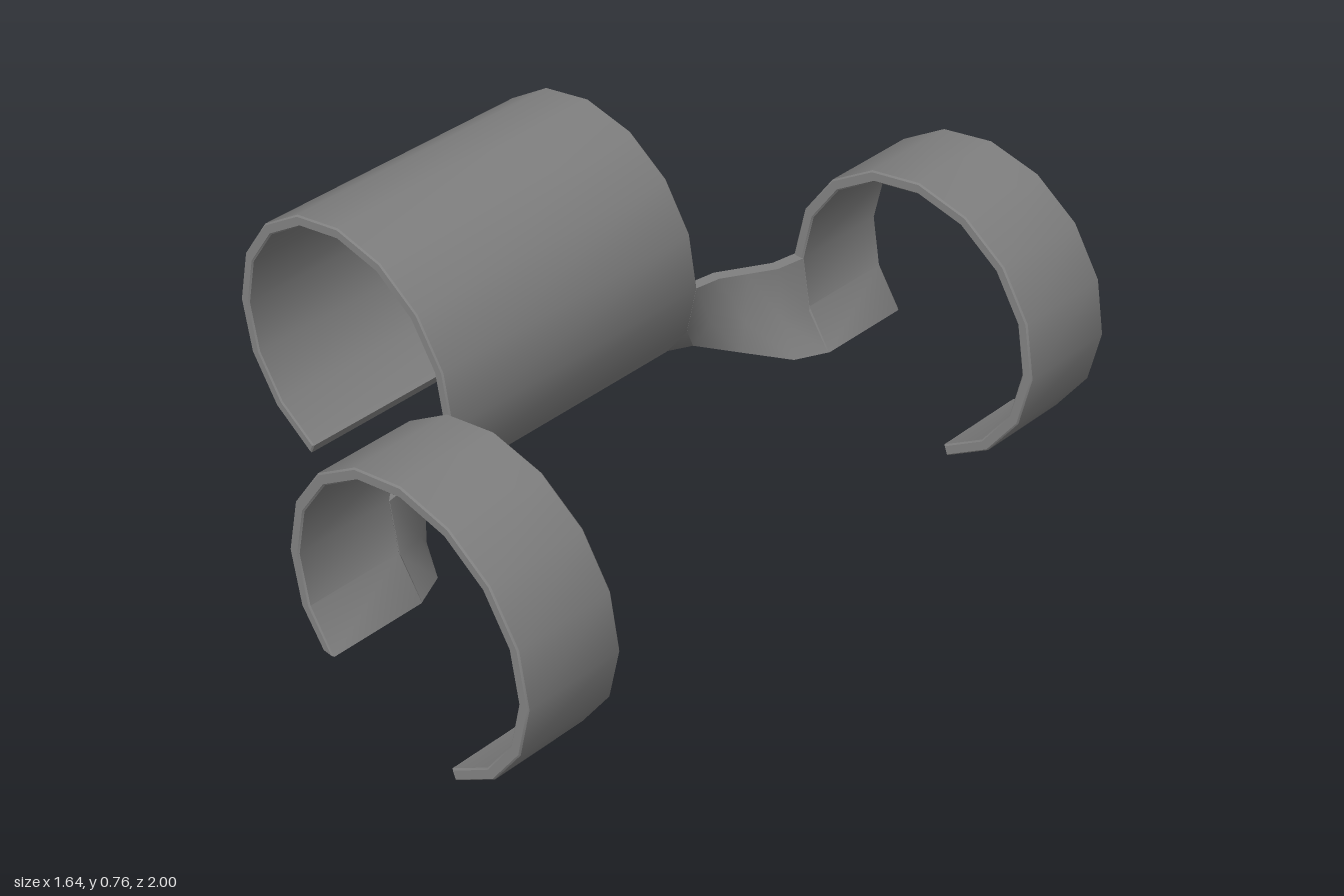
import * as THREE from 'three';
import { toCreasedNormals } from 'three/addons/utils/BufferGeometryUtils.js';

const material = new THREE.MeshStandardMaterial({ color: 0x808080 });
const CX = 0.4275, CY = 0.361;        // clip axis
const R_OUT = 0.3935, R_IN = 0.3625;  // clip wall
const LIP = 0.113;                    // height of the flat inner lip

function addMesh(parent, name, geometry, crease) {
  const mesh = new THREE.Mesh(toCreasedNormals(geometry, crease), material);
  mesh.name = name;
  parent.add(mesh);
}

// Open C-shaped clip, extruded along z; side = -1 mirrors it to -x
function clipGeometry(side, z0, z1) {
  const wall = (r, lipX) => {
    const points = [new THREE.Vector2(side * lipX, LIP)];
    for (let deg = 202.5; deg >= -67.5; deg -= 22.5) {
      const a = THREE.MathUtils.degToRad(deg);
      points.push(new THREE.Vector2(side * (CX + r * Math.cos(a)), CY + r * Math.sin(a)));
    }
    return points;
  };
  const shape = new THREE.Shape([...wall(R_OUT, 0.134), ...wall(R_IN, 0.168).reverse()]);
  const bevel = 0.004;
  const geometry = new THREE.ExtrudeGeometry(shape, {
    depth: z1 - z0 - 2 * bevel, bevelEnabled: true, bevelSegments: 1,
    bevelSize: bevel, bevelThickness: bevel, bevelOffset: -bevel,
  });
  return geometry.translate(0, 0, z0 + bevel);
}

// S-bent strip that follows the clip wall at both ends
function bridgeGeometry(zMid, dir) {
  const rows = [[LIP, 0.151], [0.212, 0.08], [CY, 0.05]];  // height, sideways reach
  const path = [[-0.1475, -1], [-0.07, -0.76], [0, 0], [0.07, 0.76], [0.1475, 1]];
  const half = 0.0155, last = path.length - 1;
  const positions = [], index = [];

  path.forEach(([dz, s], k) => {
    const faces = [[], []];
    for (const [y, reach] of rows) {
      // plan normal of the strip at this height
      const normal = new THREE.Vector2(1, 0);
      if (k > 0 && k < last) {
        const [za, sa] = path[k - 1], [zb, sb] = path[k + 1];
        normal.set(zb - za, -dir * reach * (sb - sa)).normalize();
      }
      [1, -1].forEach((sign, f) => faces[f].push([
        dir * reach * s + sign * half * normal.x, y, zMid + dz + sign * half * normal.y,
      ]));
    }
    positions.push(...[...faces[0], ...faces[1].reverse()].flat());
  });

  const n = rows.length * 2;
  const quad = (a, b, c, d) => index.push(a, b, c, a, c, d);
  for (let k = 0; k < last; k++) {
    for (let i = 0; i < n; i++) {
      const j = (i + 1) % n;
      quad(k * n + i, k * n + j, (k + 1) * n + j, (k + 1) * n + i);
    }
  }
  // end caps
  const e = last * n;
  for (let i = 0; i < rows.length - 1; i++) {
    quad(i, n - 1 - i, n - 2 - i, i + 1);
    quad(e + i, e + i + 1, e + n - 2 - i, e + n - 1 - i);
  }

  const geometry = new THREE.BufferGeometry();
  geometry.setAttribute('position', new THREE.Float32BufferAttribute(positions, 3));
  geometry.setIndex(index);
  return geometry;
}

export function createModel() {
  const model = new THREE.Group();
  model.name = 'tripleClip';
  addMesh(model, 'wideClip', clipGeometry(-1, -0.427, 0.427), 0.6);
  addMesh(model, 'frontClip', clipGeometry(1, 0.717, 1), 0.6);
  addMesh(model, 'backClip', clipGeometry(1, -1, -0.717), 0.6);
  addMesh(model, 'frontBridge', bridgeGeometry(0.572, 1), 1);
  addMesh(model, 'backBridge', bridgeGeometry(-0.572, -1), 1);
  return model;
}
